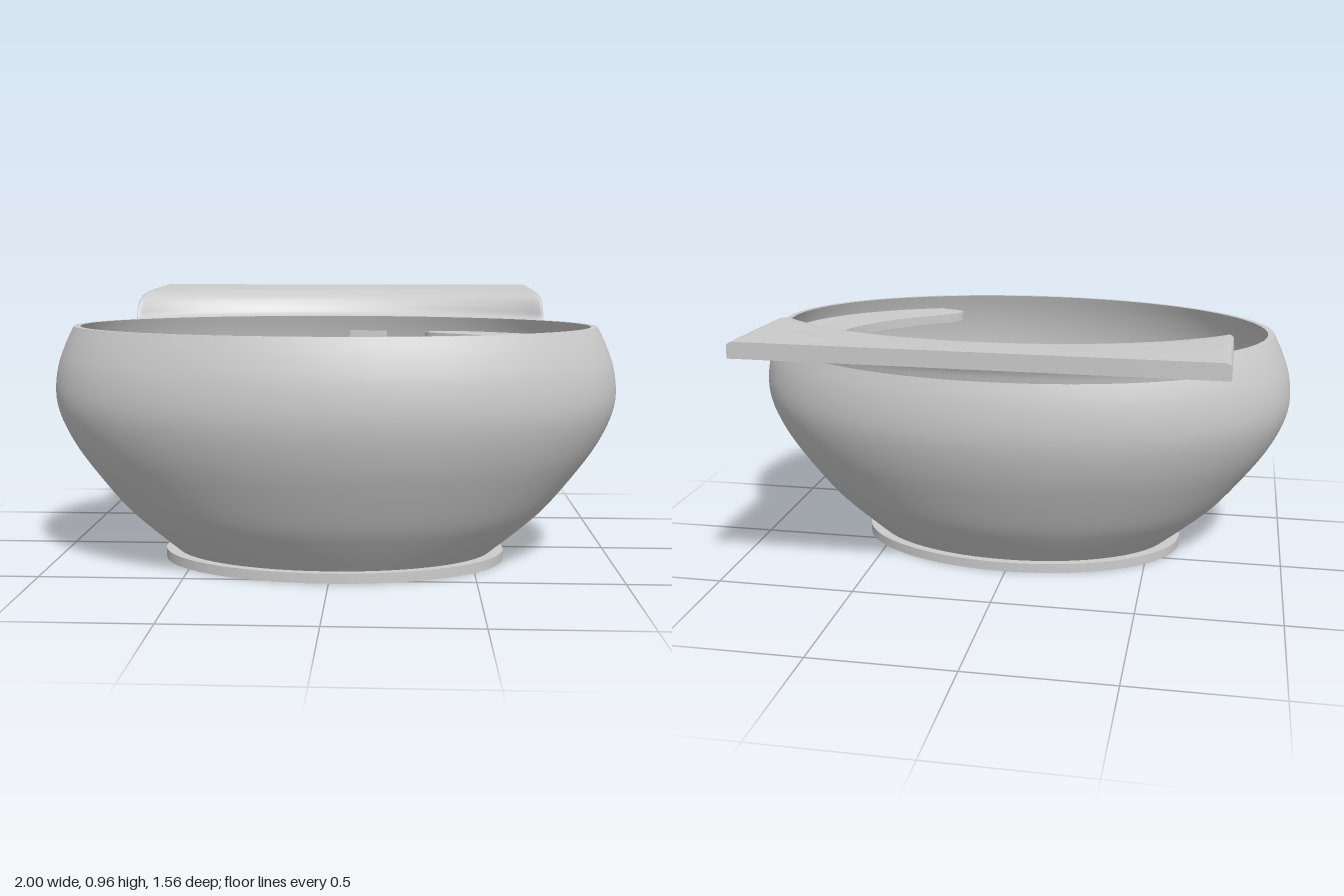
import * as THREE from 'three';
import { mergeGeometries } from 'three/addons/utils/BufferGeometryUtils.js';

const SQUASH = 0.625; // depth / width of the oval bowl
const CZ = 0.155;     // bowl centre in z
const SEG = 160;

const grey = (side = THREE.FrontSide) => new THREE.MeshStandardMaterial({ color: 0xcccccc, side });
const v2 = (list) => list.map(([x, y]) => new THREE.Vector2(x, y));

function addMesh(parent, name, geometry, side) {
  const mesh = new THREE.Mesh(geometry, grey(side));
  mesh.name = name;
  parent.add(mesh);
  return mesh;
}

// Quad grid from rows of [x, y, z] points
function grid(rows, flip = false) {
  const n = rows[0].length, index = [];
  for (let i = 0; i < rows.length - 1; i++) {
    for (let j = 0; j < n - 1; j++) {
      const a = i * n + j, b = a + 1, c = a + n, d = c + 1;
      if (flip) index.push(a, b, c, b, d, c);
      else index.push(a, c, b, b, c, d);
    }
  }
  const g = new THREE.BufferGeometry();
  g.setAttribute('position', new THREE.Float32BufferAttribute(rows.flat(2), 3));
  g.setIndex(index);
  g.computeVertexNormals();
  return g;
}

// Remove the faces of the inner wall where the overflow slot opens
function cutSlot(g) {
  const p = g.attributes.position, old = g.index.array, kept = [];
  for (let i = 0; i < old.length; i += 3) {
    const t = [old[i], old[i + 1], old[i + 2]];
    const mid = (get) => t.reduce((s, k) => s + get(k), 0) / 3;
    const x = mid((k) => p.getX(k)), y = mid((k) => p.getY(k)), z = mid((k) => p.getZ(k));
    if (!(z < 0 && x > 0.035 && x < 0.185 && y > 0.74 && y < 0.79)) kept.push(...t);
  }
  g.setIndex(kept);
  return g;
}

function makeBowl() {
  const bowl = new THREE.Group();
  bowl.name = 'bowl';
  const outer = new THREE.SplineCurve(v2([[0.57, 0.035], [0.685, 0.13], [0.77, 0.21], [0.875, 0.34],
    [0.94, 0.435], [0.985, 0.53], [1, 0.61], [0.99, 0.7], [0.962, 0.78], [0.93, 0.845]])).getSpacedPoints(44);
  const inner = new THREE.SplineCurve(v2([[0.907, 0.845], [0.94, 0.78], [0.966, 0.7], [0.976, 0.61],
    [0.96, 0.53], [0.915, 0.435], [0.85, 0.34], [0.745, 0.21], [0.66, 0.13], [0.545, 0.055]])).getSpacedPoints(44);
  const lathe = (pts) => new THREE.LatheGeometry(pts, SEG);
  addMesh(bowl, 'outerWall', lathe(outer));
  addMesh(bowl, 'rim', lathe(v2([[0.93, 0.845], [0.907, 0.845]])));
  addMesh(bowl, 'innerWall', cutSlot(lathe(inner)));
  addMesh(bowl, 'floor', lathe(v2([[0.545, 0.055], [0, 0.055]])));
  addMesh(bowl, 'foot', new THREE.CylinderGeometry(0.615, 0.615, 0.035, SEG).translate(0, 0.0175, 0));
  bowl.scale.z = SQUASH;
  bowl.position.z = CZ;
  return bowl;
}

// Crescent ledge along one end inside the bowl
function makeLedge() {
  const half = [[0.46, -0.52], [0.4, -0.5], [0.355, -0.482], [0.338, -0.45], [0.38, -0.4],
    [0.5, -0.315], [0.62, -0.2], [0.695, -0.08]];
  const edge = [...half, [0.715, 0], ...half.map(([x, z]) => [x, -z]).reverse()];
  const shape = new THREE.Shape(new THREE.SplineCurve(v2(edge)).getPoints(80));
  const end = 1.065;
  shape.absellipse(0, 0, 0.95, 0.95 * SQUASH, end, -end, true);
  const g = new THREE.ExtrudeGeometry(shape, { depth: 0.035, bevelEnabled: false, curveSegments: 60 });
  return g.rotateX(Math.PI / 2).translate(0, 0.79, CZ);
}

// Back shelf: sweeps up from the curved rim and flattens to a straight back edge
function makeBackShelf() {
  const HALF = 0.785, BACK = -0.78, ROUND = 0.02, N = 32;
  // Each profile point: distance behind the rim, blend towards the back edge, height
  const path = (list) => new THREE.CatmullRomCurve3(list.map((p) => new THREE.Vector3(...p)), false, 'centripetal').getPoints(N);
  const top = path([[0, 0, 0.842], [0.03, 0, 0.855], [0.052, 0, 0.89], [0.08, 0, 0.92],
    [0.13, 0, 0.937], [0.13, 0.4, 0.951], [0.13, 1, 0.96]]);
  const under = path([[0, 0, 0.77], [0.01, 0, 0.81], [0.03, 0, 0.845], [0.07, 0, 0.878],
    [0.13, 0, 0.896], [0.13, 0.4, 0.902], [0.13, 1, 0.905]]);
  const rimZ = (x, r) => CZ - r * SQUASH * Math.sqrt(1 - (x / r) ** 2);

  const xs = [];
  for (let i = -48; i <= 48; i++) xs.push((i / 48) * (HALF - ROUND));
  for (const k of [0.4, 0.75, 0.93, 1]) {
    xs.push(HALF - ROUND + k * ROUND);
    xs.unshift(-HALF + ROUND - k * ROUND);
  }
  const row = (x, pts, r, drop) => pts.map((p) =>
    [x, p.z - drop, THREE.MathUtils.lerp(rimZ(x, r) - p.x, BACK, p.y)]);
  const topRows = xs.map((x) => {
    const k = Math.min(1, Math.max(0, (Math.abs(x) - HALF + ROUND) / ROUND));
    return row(x, top, 0.918, ROUND * (1 - Math.sqrt(1 - k * k)));
  });
  const underRows = xs.map((x) => row(x, under, 0.96, 0));
  const last = xs.length - 1;
  const backRows = xs.map((x, i) => [topRows[i][N], underRows[i][N]]);
  return mergeGeometries([
    grid(topRows),
    grid(underRows, true),
    grid(backRows),
    grid([topRows[0], underRows[0]], true),
    grid([topRows[last], underRows[last]]),
  ]);
}

export function createModel() {
  const model = new THREE.Group();
  model.name = 'basin';
  model.add(makeBowl());
  addMesh(model, 'ledge', makeLedge());
  addMesh(model, 'backShelf', makeBackShelf(), THREE.DoubleSide);
  // Shallow pocket behind the overflow slot
  const slot = addMesh(model, 'overflowSlot', new THREE.BoxGeometry(0.16, 0.055, 0.016), THREE.BackSide);
  slot.position.set(0.11, 0.765, -0.428);
  return model;
}
